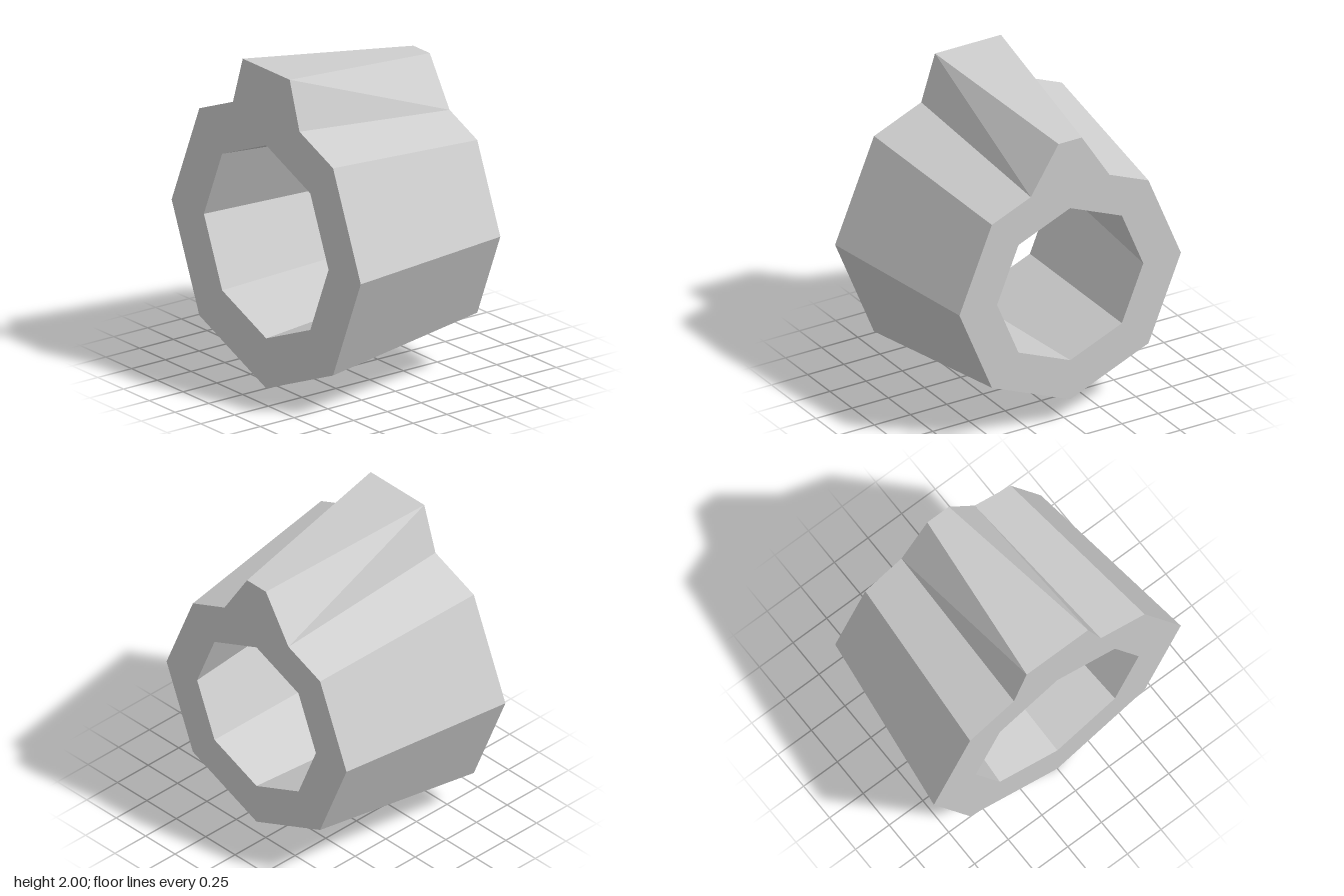
import * as THREE from 'three';

const CY = 0.918, HALF = 0.575;

// Half of the outer outline (bottom to top), mirrored into a full counter-clockwise loop
function outerLoop(r, base, top) {
  const d = r * Math.SQRT1_2;
  const right = [[d, CY - d], [r, CY], [d, CY + d], base, top];
  const left = right.map(([x, y]) => [-x, y]).reverse();
  return [[0, CY - r], ...right, ...left].map(([x, y]) => new THREE.Vector2(x, y));
}

// Octagonal bore outline
function boreLoop(r) {
  return Array.from({ length: 8 }, (_, i) => {
    const a = (i * Math.PI) / 4;
    return new THREE.Vector2(r * Math.cos(a), CY + r * Math.sin(a));
  });
}

// Wall between a front and a back loop; the split of each quad is mirrored in x
function wall(front, back) {
  const pos = [];
  const n = front.length;
  for (let i = 0; i < n; i++) {
    const j = (i + 1) % n;
    const [fi, fj] = [front[i], front[j]].map(p => [p.x, p.y, HALF]);
    const [bi, bj] = [back[i], back[j]].map(p => [p.x, p.y, -HALF]);
    if (fi[0] + fj[0] > 0) pos.push(...fi, ...bi, ...fj, ...bi, ...bj, ...fj);
    else pos.push(...fi, ...bi, ...bj, ...fi, ...bj, ...fj);
  }
  const g = new THREE.BufferGeometry();
  g.setAttribute('position', new THREE.Float32BufferAttribute(pos, 3));
  g.computeVertexNormals();
  return g;
}

// Flat ring closing one end
function cap(outer, bore) {
  const shape = new THREE.Shape(outer);
  shape.holes.push(new THREE.Path(bore));
  return new THREE.ShapeGeometry(shape).translate(0, 0, HALF);
}

export function createModel() {
  const group = new THREE.Group();
  group.name = 'taperedCollar';
  const grey = new THREE.MeshStandardMaterial({ color: 0xcccccc });
  grey.name = 'grey';
  const add = (name, geometry) => {
    const mesh = new THREE.Mesh(geometry, grey);
    mesh.name = name;
    group.add(mesh);
  };

  const frontOuter = outerLoop(0.918, [0.323, 1.702], [0.228, 2]);
  const backOuter = outerLoop(0.765, [0.272, 1.57], [0.08, 1.87]);
  const frontBore = boreLoop(0.605), backBore = boreLoop(0.505);

  // Octagonal shell with the narrowing ridge on top
  add('outerShell', wall(frontOuter, backOuter));
  // Bore wall faces inward
  add('boreWall', wall([...frontBore].reverse(), [...backBore].reverse()));
  // End faces; the outline is symmetric, so the back one is simply turned round
  add('frontFace', cap(frontOuter, frontBore));
  add('backFace', cap(backOuter, backBore).rotateY(Math.PI));
  return group;
}
